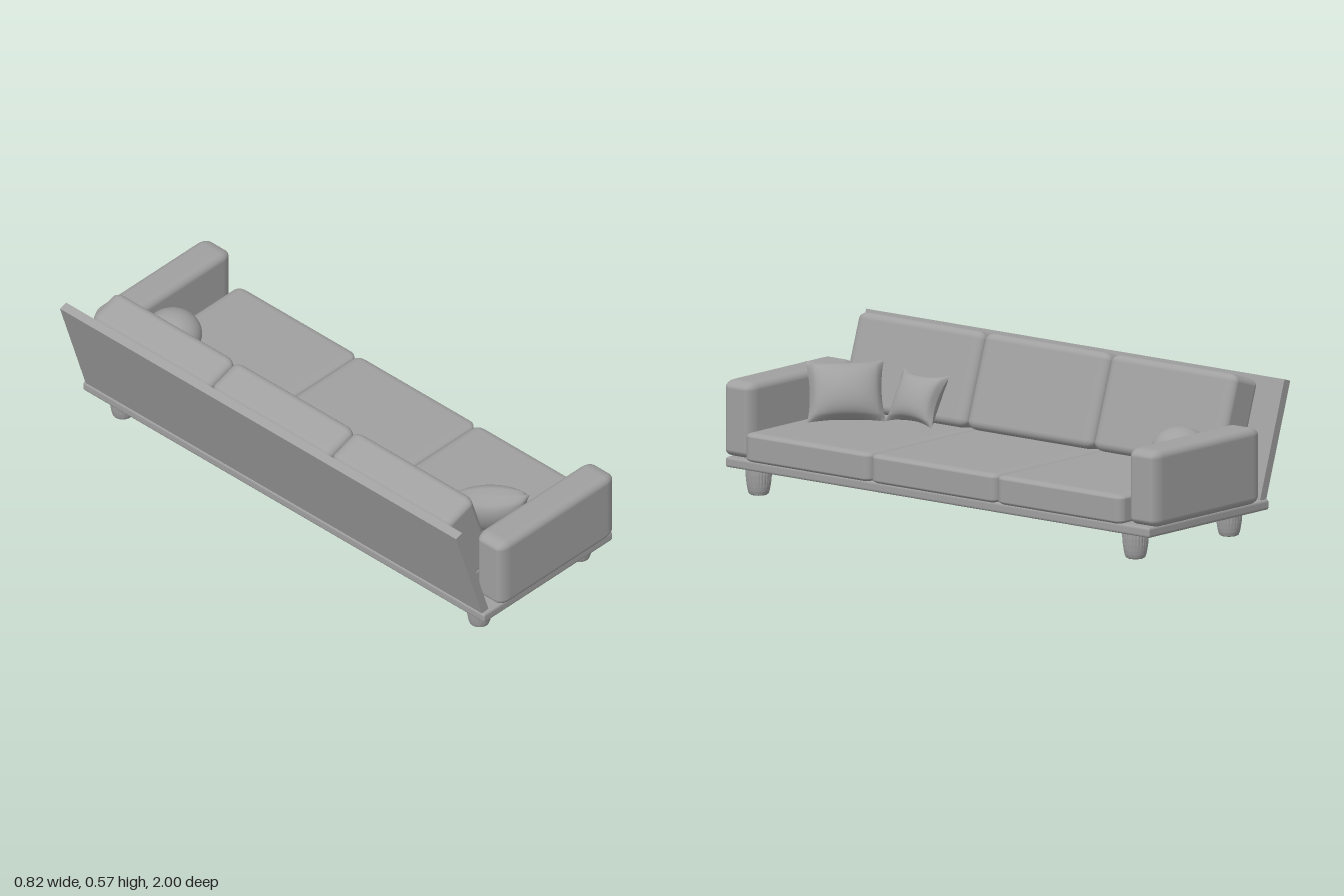
import * as THREE from 'three';
import { RoundedBoxGeometry } from 'three/addons/geometries/RoundedBoxGeometry.js';

const fabric = new THREE.MeshStandardMaterial({ color: 0xa0a0a0 });
const carved = new THREE.MeshStandardMaterial({ color: 0xa0a0a0, flatShading: true });

function add(parent, name, geometry, x, y, z, material = fabric) {
  const mesh = new THREE.Mesh(geometry, material);
  mesh.name = name;
  mesh.position.set(x, y, z);
  parent.add(mesh);
  return mesh;
}

// Rounded box with its own edge radius along each axis
function softBox(w, h, d, rx, ry, rz) {
  return new RoundedBoxGeometry(w / rx, h / ry, d / rz, 5, 1).scale(rx, ry, rz);
}

// Square pillow with pulled-in edges, pointed corners and a puffed middle
function pillowGeometry(width, height, thickness, pinch) {
  const geo = new THREE.BoxGeometry(2, 2, 2, 20, 20, 1);
  const p = geo.attributes.position;
  for (let i = 0; i < p.count; i++) {
    const u = p.getX(i), v = p.getY(i), side = Math.sign(p.getZ(i));
    const a = 1 - u * u, b = 1 - v * v;
    p.setXYZ(i,
      u * (1 - pinch * b * u * u) * width / 2,
      v * (1 - pinch * a * v * v) * height / 2,
      side * Math.pow(Math.max(a * b, 0), 0.5) * thickness / 2);
  }
  geo.computeVertexNormals();
  return geo;
}

// Turned leg with narrow upright grooves above a rounded foot
function legGeometry() {
  const profile = [[0, 0], [0.029, 0], [0.035, 0.004], [0.039, 0.015], [0.042, 0.03], [0.045, 0.05], [0.047, 0.075], [0.047, 0.098]]
    .map(([r, y]) => new THREE.Vector2(r, y));
  const geo = new THREE.LatheGeometry(profile, 72);
  const p = geo.attributes.position;
  for (let i = 0; i < p.count; i++) {
    const column = Math.floor(i / profile.length);
    const k = column % 3 === 0 && p.getY(i) > 0.035 ? 0.97 : 1;
    p.setXYZ(i, p.getX(i) * k, p.getY(i), p.getZ(i) * k);
  }
  return geo;
}

// Turn a mesh so that its width runs along u and its height along v
function orient(mesh, u, v) {
  const n = new THREE.Vector3().crossVectors(u, v).normalize();
  u.normalize();
  v.crossVectors(n, u);
  mesh.quaternion.setFromRotationMatrix(new THREE.Matrix4().makeBasis(u, v, n));
}

export function createModel() {
  const sofa = new THREE.Group();
  sofa.name = 'sofa';

  // Platform; the seat faces +x
  add(sofa, 'basePlatform', softBox(0.662, 0.036, 1.955, 0.006, 0.01, 0.006), 0.05, 0.113, 0.002);

  // Grooved legs
  const legGeo = legGeometry();
  for (const x of [-0.198, 0.318])
    for (const z of [-0.86, 0.878]) add(sofa, 'leg', legGeo, x, 0, z, carved);

  // Armrests
  const armGeo = softBox(0.593, 0.277, 0.131, 0.05, 0.028, 0.03);
  for (const s of [-1, 1]) add(sofa, 'armrest', armGeo, 0.082, 0.2685, s * 0.9345);

  // Leaning back board
  const board = add(sofa, 'backBoard', new THREE.BoxGeometry(0.033, 0.436, 1.93), -0.327, 0.336, 0);
  board.rotation.z = 0.314;

  // Three seat cushions and three leaning back cushions
  const seatGeo = softBox(0.65, 0.107, 0.58, 0.03, 0.015, 0.035);
  const backGeo = softBox(0.148, 0.348, 0.58, 0.028, 0.028, 0.04);
  for (const i of [-1, 0, 1]) {
    add(sofa, 'seatCushion', seatGeo, 0.085, 0.184, 0.003 + i * 0.581);
    const back = add(sofa, 'backCushion', backGeo, -0.243, 0.391, 0.008 + i * 0.583);
    back.rotation.z = 0.322;
  }

  // Round cushion, slightly squashed
  const ball = add(sofa, 'roundCushion', new THREE.SphereGeometry(0.104, 40, 28), -0.035, 0.32, -0.77);
  ball.scale.y = 0.82;

  // Two throw pillows
  const large = add(sofa, 'largePillow', pillowGeometry(0.28, 0.23, 0.15, 0.09), -0.008, 0.337, 0.75);
  orient(large, new THREE.Vector3(0.69, 0, 0.72), new THREE.Vector3(-0.36, 0.88, 0.34));
  const small = add(sofa, 'smallPillow', pillowGeometry(0.22, 0.205, 0.11, 0.2), -0.093, 0.332, 0.488);
  orient(small, new THREE.Vector3(0, 0, 1), new THREE.Vector3(-0.1, 0.175, 0));

  return sofa;
}
